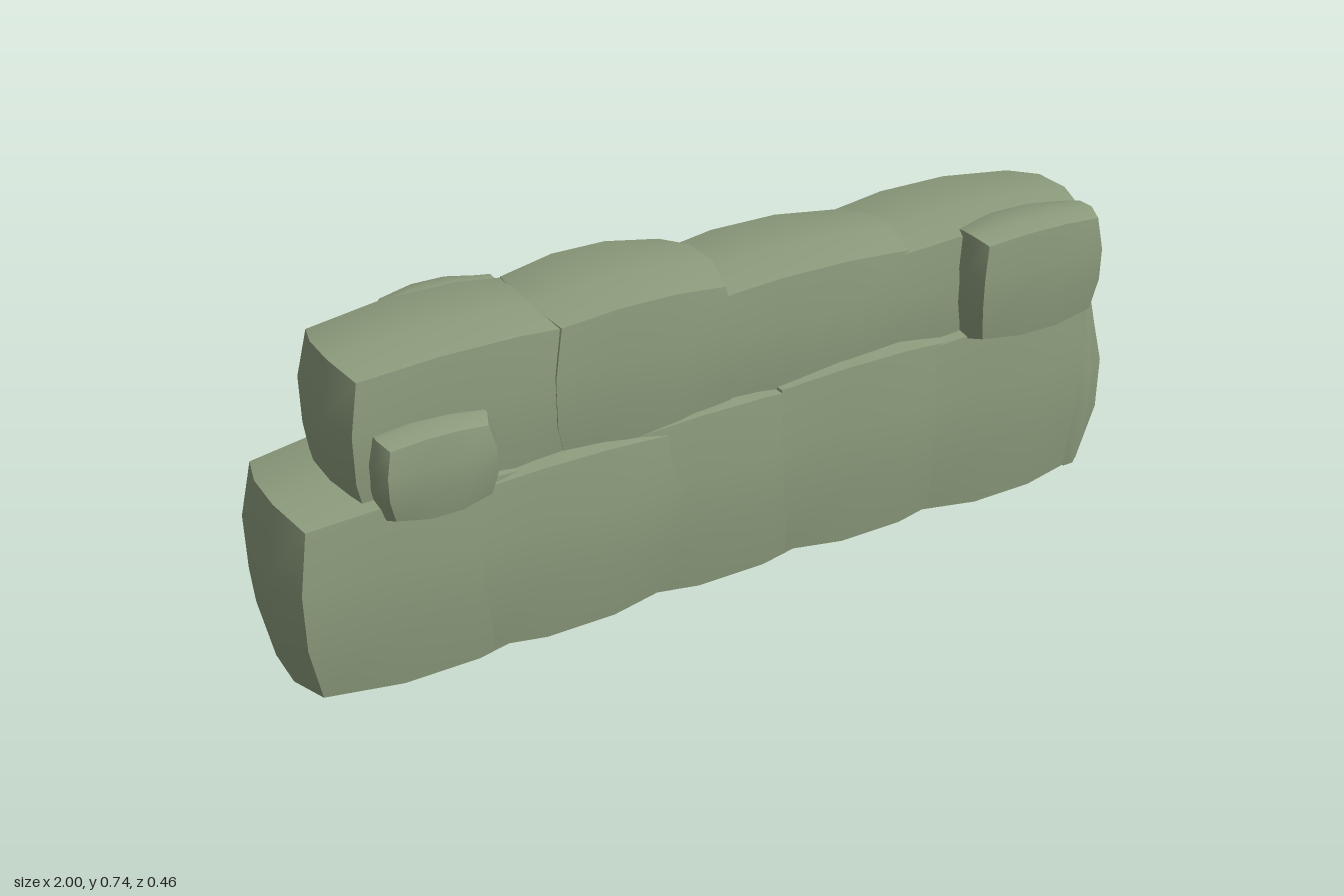
import * as THREE from 'three';

const material = new THREE.MeshStandardMaterial({ color: 0x8b9a7b });

// A block whose faces swell outward while its edges stay sharp.
// x, y, z are [min, max] outer extents; inset is how far the corners draw in per axis.
function bulgedBlock(name, x, y, z, inset) {
  const size = [x, y, z].map(([a, b]) => b - a);
  const geometry = new THREE.BoxGeometry(2, 2, 2, 3, 3, 3);
  const pos = geometry.attributes.position;
  for (let i = 0; i < pos.count; i++) {
    const p = [pos.getX(i), pos.getY(i), pos.getZ(i)];
    const q = p.map((v, axis) => {
      const a = p[(axis + 1) % 3], b = p[(axis + 2) % 3];
      const pull = Math.max(0, (a * a + b * b) / 2 - 0.11) / 0.89;
      return v * (size[axis] / 2 - inset[axis] * pull);
    });
    pos.setXYZ(i, ...q);
  }
  geometry.computeVertexNormals();
  const mesh = new THREE.Mesh(geometry, material);
  mesh.name = name;
  mesh.position.set((x[0] + x[1]) / 2, (y[0] + y[1]) / 2, (z[0] + z[1]) / 2);
  return mesh;
}

function addBlocks(parent, groupName, name, list, inset) {
  const group = new THREE.Group();
  group.name = groupName;
  list.forEach(([x, y, z], i) => group.add(bulgedBlock(name + (i + 1), x, y, z, inset)));
  parent.add(group);
}

export function createModel() {
  const wall = new THREE.Group();
  wall.name = 'stoneWall';

  // Lower course: overlapping large blocks
  addBlocks(wall, 'lowerCourse', 'lowerBlock', [
    [[-1.0, -0.41], [0.01, 0.46], [-0.19, 0.18]],
    [[-0.68, -0.11], [0.015, 0.45], [-0.18, 0.19]],
    [[-0.32, 0.27], [0.01, 0.46], [-0.185, 0.18]],
    [[0.05, 0.62], [0.01, 0.48], [-0.18, 0.19]],
    [[0.42, 0.985], [0.0, 0.48], [-0.185, 0.195]],
    [[0.82, 1.0], [0.01, 0.45], [-0.19, 0.185]],
  ], [0.05, 0.035, 0.03]);

  // Upper course: narrower blocks, uneven tops
  addBlocks(wall, 'upperCourse', 'upperBlock', [
    [[-0.86, -0.28], [0.35, 0.73], [-0.16, 0.15]],
    [[-0.44, 0.02], [0.36, 0.74], [-0.165, 0.16]],
    [[-0.1, 0.48], [0.35, 0.71], [-0.16, 0.15]],
    [[0.34, 0.96], [0.35, 0.7], [-0.17, 0.15]],
  ], [0.045, 0.035, 0.025]);

  // Small stones set proud of the front face
  addBlocks(wall, 'frontStones', 'frontStone', [
    [[-0.81, -0.56], [0.4, 0.595], [0.08, 0.21]],
    [[0.56, 0.91], [0.44, 0.705], [0.08, 0.23]],
  ], [0.025, 0.022, 0.018]);

  // Small stones set proud of the back face
  addBlocks(wall, 'backStones', 'backStone', [
    [[0.65, 0.94], [0.28, 0.5], [-0.22, -0.1]],
    [[-0.38, -0.01], [0.33, 0.61], [-0.23, -0.1]],
    [[-0.27, 0.03], [0.33, 0.52], [-0.2, -0.1]],
    [[-0.66, -0.39], [0.48, 0.71], [-0.22, -0.1]],
    [[-0.75, -0.53], [0.38, 0.54], [-0.2, -0.1]],
    [[-0.7, -0.34], [0.12, 0.37], [-0.23, -0.1]],
  ], [0.025, 0.022, 0.018]);

  return wall;
}
